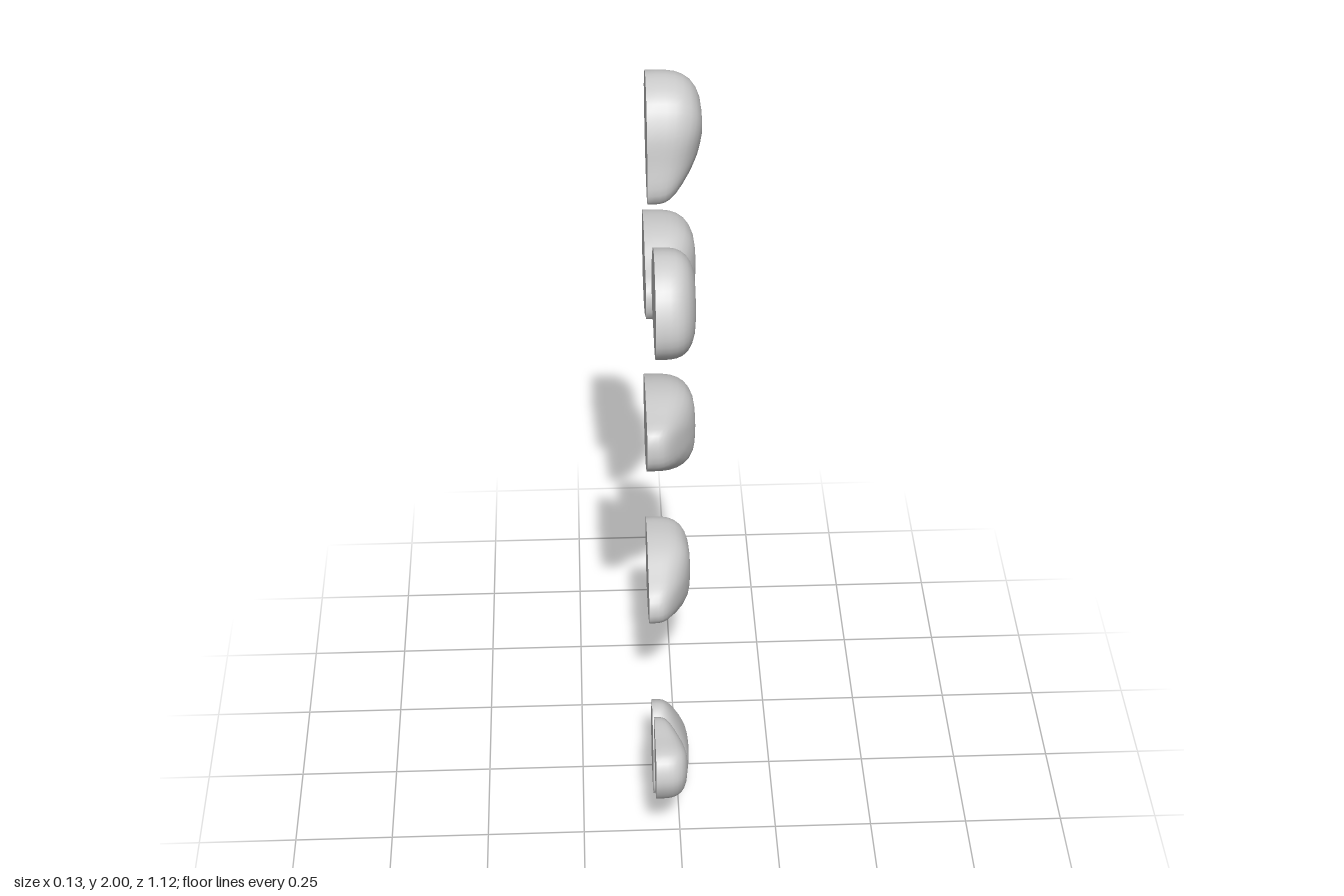
import * as THREE from 'three';

const BACK = -0.065; // plane of the flat backs
const SEGMENTS = 48;
// [outline scale, height fraction] from the flat back up to the crown
const PROFILE = [[1, 0], [1, 0.2], [0.995, 0.36], [0.975, 0.52], [0.93, 0.66], [0.85, 0.79],
  [0.73, 0.89], [0.57, 0.96], [0.38, 0.99], [0.19, 1]];

// Pear-shaped pebble: flat back, domed face, lower towards the narrow tip.
// outline: z, y pairs, clockwise as seen from +x; tip: [z, y] of the narrow end
function makeStone(name, height, tip, outline) {
  const pts = [];
  for (let i = 0; i < outline.length; i += 2) pts.push(new THREE.Vector3(0, outline[i + 1], outline[i]));
  const curve = new THREE.CatmullRomCurve3(pts, true, 'centripetal');
  const rim = curve.getSpacedPoints(SEGMENTS).slice(0, SEGMENTS);
  const centre = rim.reduce((sum, p) => sum.add(p), new THREE.Vector3()).divideScalar(SEGMENTS);
  const axis = new THREE.Vector3(0, tip[1], tip[0]).sub(centre);
  const reach = axis.length();
  axis.normalize();

  const pos = [], index = [];
  const p = new THREE.Vector3();
  for (const [scale, rise] of PROFILE) {
    for (const r of rim) {
      p.copy(r).sub(centre).multiplyScalar(scale);
      const t = THREE.MathUtils.smoothstep(p.dot(axis) / reach, -0.1, 1.1);
      p.add(centre);
      pos.push(BACK + height * rise * (1 - 0.42 * t), p.y, p.z);
    }
  }
  const crown = pos.length / 3;
  pos.push(BACK + height, centre.y, centre.z);
  for (let j = 0; j < SEGMENTS; j++) {
    const k = (j + 1) % SEGMENTS;
    for (let i = 0; i < PROFILE.length - 1; i++) {
      const a = i * SEGMENTS + j, b = i * SEGMENTS + k;
      index.push(a, a + SEGMENTS, b + SEGMENTS, a, b + SEGMENTS, b);
    }
    const last = (PROFILE.length - 1) * SEGMENTS;
    index.push(last + j, crown, last + k);
  }
  // flat back with its own vertices, so the edge stays sharp
  const base = pos.length / 3;
  pos.push(BACK, centre.y, centre.z);
  for (const r of rim) pos.push(BACK, r.y, r.z);
  for (let j = 0; j < SEGMENTS; j++) index.push(base, base + 1 + j, base + 1 + (j + 1) % SEGMENTS);

  const geo = new THREE.BufferGeometry();
  geo.setAttribute('position', new THREE.Float32BufferAttribute(pos, 3));
  geo.setIndex(index);
  geo.computeVertexNormals();
  const mesh = new THREE.Mesh(geo, new THREE.MeshStandardMaterial({ color: 0xcccccc }));
  mesh.name = name;
  return mesh;
}

export function createModel() {
  const group = new THREE.Group();
  group.name = 'stoneArc';
  group.add(
    makeStone('upperFrontStone', 0.09, [0.25, 1.68], [0.56, 1.75, 0.53, 1.82, 0.48, 1.86, 0.425, 1.87,
      0.355, 1.84, 0.28, 1.765, 0.25, 1.69, 0.29, 1.64, 0.36, 1.635, 0.44, 1.625, 0.51, 1.65, 0.555, 1.70]),
    makeStone('topStone', 0.13, [0, 1.74], [0, 1.76, -0.01, 1.83, -0.025, 1.91, -0.065, 1.975,
      -0.145, 2, -0.215, 1.97, -0.267, 1.905, -0.245, 1.83, -0.19, 1.76, -0.13, 1.72, -0.065, 1.71, -0.01, 1.735]),
    makeStone('upperBackStone', 0.13, [-0.205, 1.33], [-0.205, 1.33, -0.22, 1.375, -0.285, 1.405, -0.35, 1.44,
      -0.43, 1.447, -0.51, 1.425, -0.553, 1.36, -0.553, 1.295, -0.515, 1.225, -0.435, 1.2, -0.355, 1.215,
      -0.27, 1.26, -0.22, 1.285]),
    makeStone('middleBackStone', 0.13, [-0.185, 0.89], [-0.185, 0.885, -0.2, 0.94, -0.27, 0.96, -0.357, 0.972,
      -0.44, 0.96, -0.505, 0.925, -0.53, 0.86, -0.515, 0.78, -0.47, 0.735, -0.405, 0.722, -0.325, 0.745,
      -0.245, 0.8, -0.195, 0.845]),
    makeStone('lowerBackStone', 0.115, [-0.115, 0.42], [-0.115, 0.42, -0.13, 0.46, -0.2, 0.5, -0.27, 0.53,
      -0.35, 0.537, -0.42, 0.52, -0.447, 0.45, -0.44, 0.375, -0.405, 0.32, -0.33, 0.304, -0.245, 0.32,
      -0.165, 0.36, -0.125, 0.39]),
    makeStone('bottomStone', 0.095, [0.055, 0.265], [0.055, 0.265, 0.013, 0.245, -0.02, 0.195, -0.04, 0.125,
      -0.04, 0.055, 0, 0.015, 0.06, 0, 0.125, 0.015, 0.153, 0.06, 0.145, 0.135, 0.125, 0.2, 0.093, 0.25]),
    makeStone('smallFrontStone', 0.08, [0.213, 0.345], [0.213, 0.335, 0.24, 0.29, 0.27, 0.235, 0.32, 0.203,
      0.357, 0.215, 0.395, 0.255, 0.413, 0.315, 0.385, 0.37, 0.31, 0.378, 0.225, 0.37]),
  );
  return group;
}
